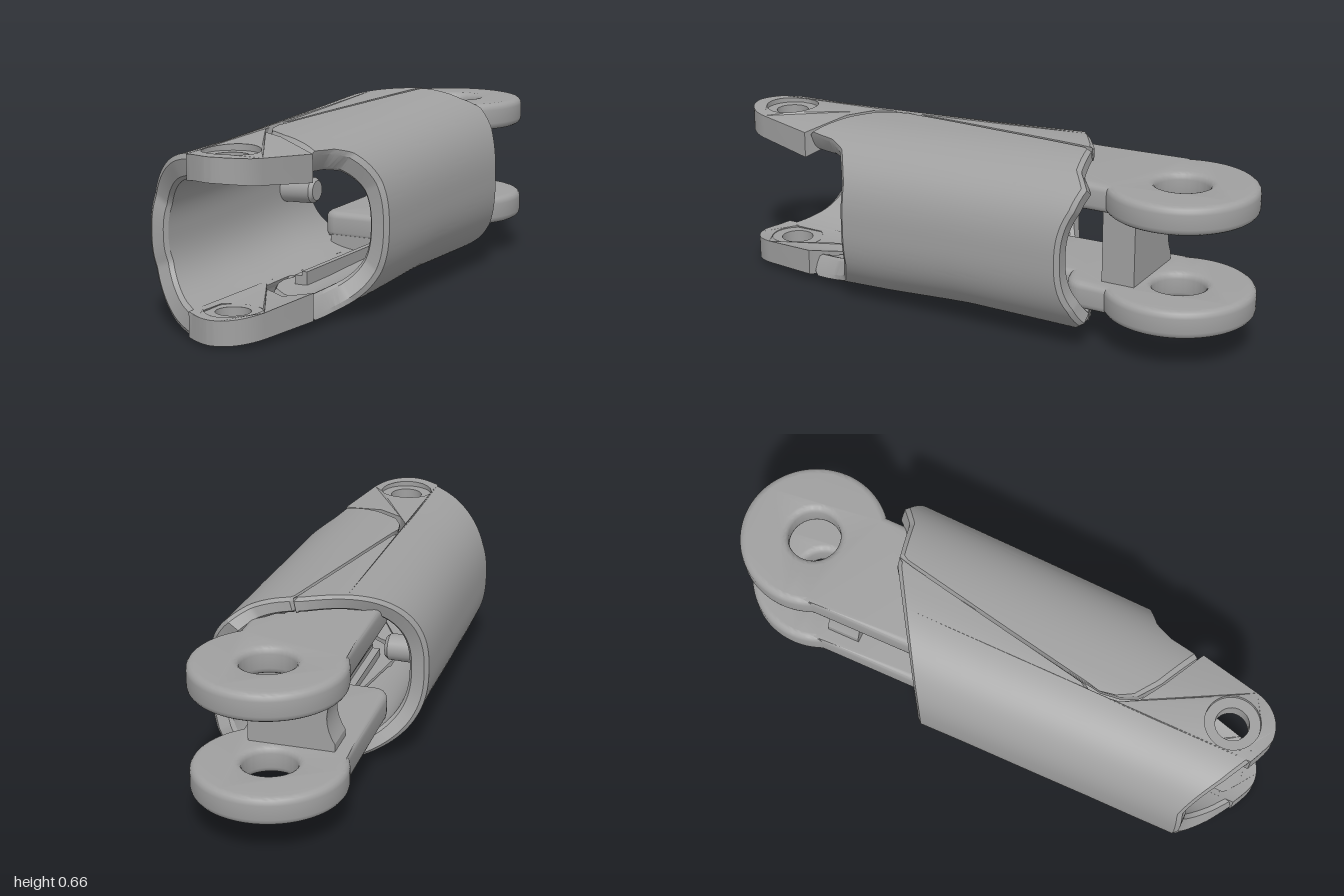
import * as THREE from 'three';
import { toCreasedNormals } from 'three/addons/utils/BufferGeometryUtils.js';

const N = 2.5; // roundness exponent of the sleeve's cross-section

// Piecewise linear lookup in a list of [key, value] pairs
function look(table, k) {
  if (k <= table[0][0]) return table[0][1];
  for (let i = 1; i < table.length; i++) {
    const [k0, v0] = table[i - 1], [k1, v1] = table[i];
    if (k <= k1) return v0 + (v1 - v0) * (k - k0) / (k1 - k0);
  }
  return table[table.length - 1][1];
}

// Sleeve dimensions along z
const TOP = [[-0.5, 0.662], [0, 0.637], [0.6, 0.612], [1, 0.605]];
const BOTTOM = [[-0.5, 0.022], [0, 0.028], [0.3, 0.01], [0.6, 0], [1, 0.008]];
const HALF_WIDTH = [[-0.45, 0.352], [0.5, 0.336], [1, 0.335]];
const WALL_Y = [[-0.45, 0.05], [0.5, 0.08], [1, 0.082]];

// Edges of the sleeve as z over x
const BACK = [[-0.36, -0.16], [-0.3, -0.2], [0.03, -0.405], [0.2, -0.44], [0.26, -0.49], [0.31, -0.47], [0.36, -0.42]];
const FRONT = [[-0.36, 0.83], [-0.33, 0.815], [-0.2, 0.9], [-0.1, 0.955]];
const SEAM = [[-0.09, 0.4], [0.06, -0.405]];
const COVER_FRONT = [[-0.09, 0.4], [-0.08, 0.47], [-0.05, 0.525], [0.03, 0.58], [0.19, 0.655],
  [0.2, 0.57], [0.24, 0.495], [0.32, 0.44], [0.36, 0.43]];

// Section at z and depth s (0 outside, 1 inside)
function section(z, s) {
  const t = look(TOP, z), b = look(BOTTOM, z);
  return { a: look(HALF_WIDTH, z) - 0.068 * s, b: (t - b) / 2 - look(WALL_Y, z) * s, c: (t + b) / 2 };
}

const radius = u => Math.pow(Math.abs(Math.cos(u)) ** N + Math.abs(Math.sin(u)) ** N, -1 / N);
const angleAt = x => {
  const k = x / 0.345;
  return Math.atan2((1 - Math.abs(k) ** N) ** (1 / N), k);
};

// Curved closed wall panel between two angles, cut by back and front edges
function panel(u0, u1, cols, zBack, zFront) {
  const pos = [], idx = [], steps = 12;
  let m = 0;
  for (let i = 0; i <= cols; i++) {
    const u = u0 + (u1 - u0) * i / cols, r = radius(u), x = 0.345 * Math.cos(u) * r;
    const zb = zBack(x), zf = Math.max(zFront(x), zb + 0.001);
    const c = Math.min(0.015, (zf - zb) / 4);
    const loop = [];
    for (let j = 0; j <= steps; j++) loop.push([zb + c + (zf - zb - 2 * c) * j / steps, 0]);
    loop.push([zf, 0.2], [zf, 0.85]);
    for (let j = steps; j >= 0; j--) loop.push([zb + c + (zf - zb - 2 * c) * j / steps, 1]);
    loop.push([zb, 0.85], [zb, 0.2]);
    m = loop.length;
    for (const [z, s] of loop) {
      const q = section(z, s);
      pos.push(q.a * Math.cos(u) * r, q.c + q.b * Math.sin(u) * r, z);
    }
  }
  for (let i = 0; i < cols; i++) for (let j = 0; j < m; j++) {
    const k = (j + 1) % m, a = i * m, b = a + m;
    idx.push(a + j, b + j, b + k, a + j, b + k, a + k);
  }
  const e = cols * m;
  for (let j = 1; j < m - 1; j++) idx.push(0, j, j + 1, e, e + j + 1, e + j);
  const g = new THREE.BufferGeometry();
  g.setAttribute('position', new THREE.Float32BufferAttribute(pos, 3));
  g.setIndex(idx);
  return toCreasedNormals(g, 0.45);
}

function circleHole(x, y, r) {
  return new THREE.Path().absarc(x, y, r, 0, Math.PI * 2, true);
}

// Front tongue with a hole, bent to follow the sleeve wall
function tongue(isTop) {
  const s = new THREE.Shape();
  s.moveTo(-0.1, 0.42);
  for (const [x, z] of [[-0.092, 0.48], [-0.058, 0.538], [0.03, 0.592], [0.19, 0.668], [0.135, 0.885]]) s.lineTo(x, z);
  s.bezierCurveTo(0.115, 0.955, 0.06, 0.995, 0, 0.995);
  s.quadraticCurveTo(-0.03, 0.992, -0.1, 0.955);
  s.closePath();
  s.holes.push(circleHole(0, 0.85, 0.095));
  const g = new THREE.ExtrudeGeometry(s, { depth: 1, bevelEnabled: false, curveSegments: 20 });
  const p = g.attributes.position;
  for (let i = 0; i < p.count; i++) {
    const x = p.getX(i), z = p.getY(i), k = p.getZ(i);
    const q = section(z, isTop ? k : 1 - k);
    const h = q.b * (1 - Math.abs(x / q.a) ** N) ** (1 / N);
    p.setXYZ(i, x, q.c + (isTop ? h : -h), z);
  }
  return toCreasedNormals(g, 0.45);
}

// Rounded eye plate with its arm
function clevisPlate() {
  const s = new THREE.Shape();
  s.moveTo(0.2, -0.44);
  s.quadraticCurveTo(0.2, -0.38, 0.11, -0.36);
  s.lineTo(0.11, -0.1);
  s.lineTo(-0.14, -0.1);
  s.quadraticCurveTo(-0.2, -0.1, -0.2, -0.18);
  s.lineTo(-0.2, -0.624);
  s.absarc(0.035, -0.735, 0.26, 2.7, 7.163, false);
  s.closePath();
  s.holes.push(circleHole(0.035, -0.735, 0.092));
  const g = new THREE.ExtrudeGeometry(s, { depth: 0.05, bevelThickness: 0.024, bevelSize: 0.024,
    bevelOffset: -0.024, bevelSegments: 4, curveSegments: 36 });
  g.rotateX(Math.PI / 2);
  g.translate(0, 0.025, 0);
  return toCreasedNormals(g, 0.5);
}

export function createModel() {
  const group = new THREE.Group();
  const grey = new THREE.MeshStandardMaterial({ color: 0xa0a0a0 });
  grey.name = 'plain grey';
  const add = (name, geometry, x = 0, y = 0, z = 0) => {
    const mesh = new THREE.Mesh(geometry, grey);
    mesh.name = name;
    mesh.position.set(x, y, z);
    group.add(mesh);
    return mesh;
  };

  // Sleeve body wrapping the right side, and the cover on the left
  const uBody = angleAt(-0.1), uCover = angleAt(-0.09), uTail = angleAt(0.055);
  const back = x => look(BACK, x), front = x => look(FRONT, x), seam = x => look(SEAM, x);
  add('sleeveBody', panel(uBody, Math.PI * 2 - uBody, 56, back, front));
  add('sideCover', panel(-uCover, uCover, 120, x => (x < 0.06 ? seam(x) : back(x)), x => look(COVER_FRONT, x)));

  // Rear corners of the body beside the cover
  const tailFront = x => seam(x) - 0.035;
  add('upperTail', panel(uTail, uBody, 12, back, tailFront));
  add('lowerTail', panel(-uBody, -uTail, 12, back, tailFront));

  // Front tongues and their recessed bushings
  for (const isTop of [true, false]) {
    add(isTop ? 'upperTongue' : 'lowerTongue', tongue(isTop));
    const o = section(0.85, 0), i = section(0.85, 1), d = isTop ? 1 : -1;
    const yOut = o.c + d * (o.b - 0.02), yIn = i.c + d * (i.b + 0.001);
    const lo = Math.min(yOut, yIn), hi = Math.max(yOut, yIn);
    const ring = [[0.058, lo], [0.097, lo], [0.097, hi], [0.058, hi], [0.058, lo]].map(q => new THREE.Vector2(...q));
    add(isTop ? 'upperBushing' : 'lowerBushing', toCreasedNormals(new THREE.LatheGeometry(ring, 32), 0.5), 0, 0, 0.85);
  }

  // Rear clevis: two eye plates, pads to the sleeve and a notched web
  const plate = clevisPlate();
  add('upperEyePlate', plate, 0, 0.534, 0);
  add('lowerEyePlate', plate, 0, 0.174, 0);
  add('upperPad', new THREE.BoxGeometry(0.24, 0.06, 0.16), -0.04, 0.59, -0.18);
  add('lowerPad', new THREE.BoxGeometry(0.24, 0.08, 0.16), -0.04, 0.1, -0.18);
  const web = new THREE.Shape();
  web.moveTo(-0.15, 0.18);
  web.lineTo(0.15, 0.18);
  web.lineTo(0.15, 0.52);
  web.lineTo(-0.15, 0.52);
  web.lineTo(-0.15, 0.43);
  web.quadraticCurveTo(-0.095, 0.34, -0.15, 0.25);
  web.closePath();
  add('clevisWeb', toCreasedNormals(new THREE.ExtrudeGeometry(web, { depth: 0.12, bevelEnabled: false }), 0.5), 0, 0, -0.62);

  // Inner pegs on the walls
  const v = (x, y) => new THREE.Vector2(x, y);
  const peg = new THREE.LatheGeometry([v(0.05, 0), v(0.047, 0.12), v(0.036, 0.133), v(0, 0.133)], 20);
  add('rightPeg', toCreasedNormals(peg, 0.5), -0.283, 0.323, 0.02).rotation.z = -Math.PI / 2;
  for (const y of [0.2, 0.465]) {
    add('leftBoss', new THREE.CylinderGeometry(0.037, 0.037, 0.08, 16), 0.258, y, -0.1).rotation.z = Math.PI / 2;
  }

  // Floor ribs
  add('tallRib', new THREE.BoxGeometry(0.02, 0.06, 0.5), 0.025, 0.1, 0.18);
  add('lowRib', new THREE.BoxGeometry(0.035, 0.04, 0.5), 0.005, 0.095, 0.18);
  return group;
}
